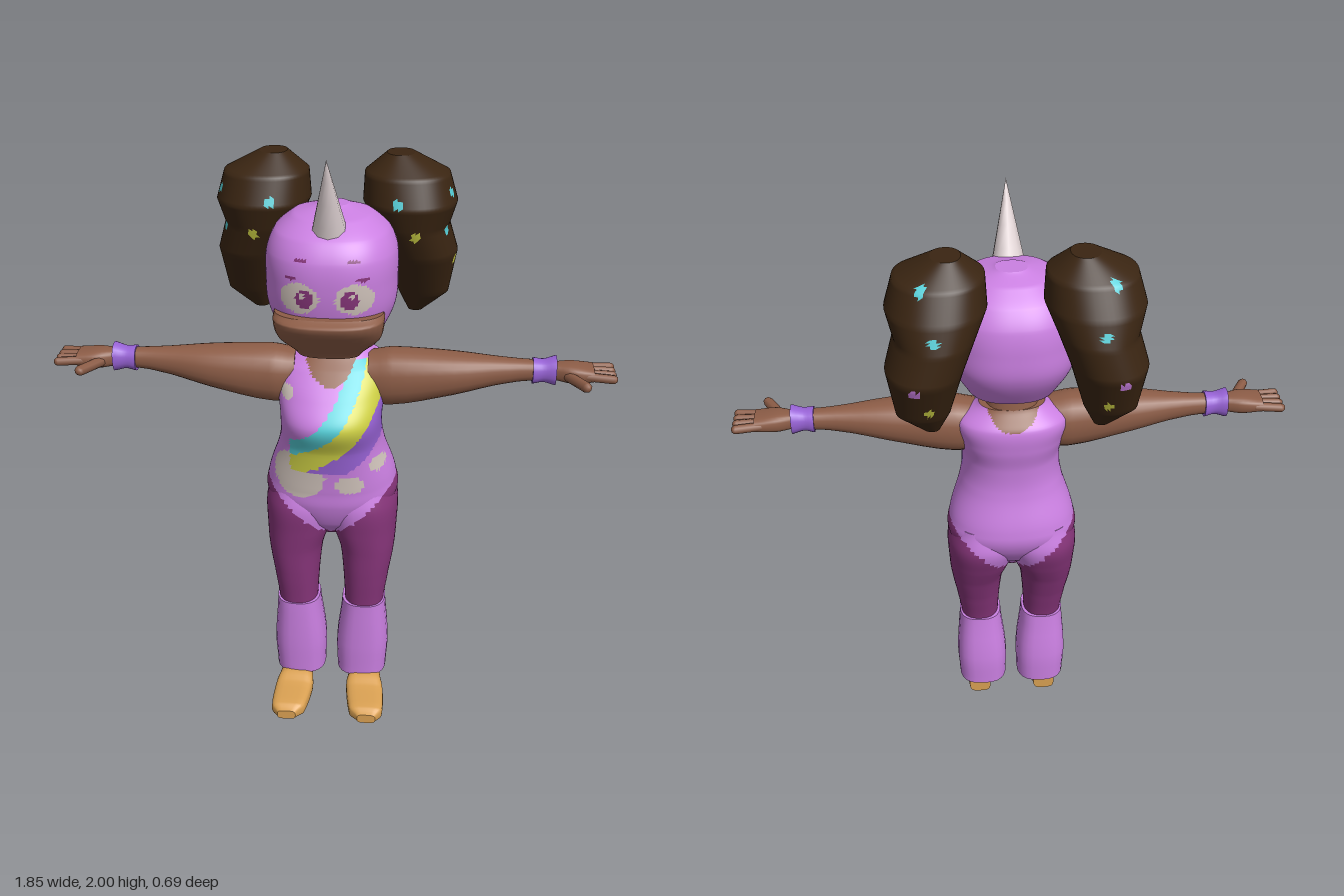
import * as THREE from 'three';

const mat = (name, color) => Object.assign(new THREE.MeshStandardMaterial({ color }), { name });
const M = {
  suit: mat('orchid suit', 0xcb80e2),
  skin: mat('brown skin', 0x8d5d47),
  tights: mat('plum tights', 0x87357a),
  hair: mat('dark hair', 0x3a2512),
  horn: mat('pale horn', 0xdccfd0),
  cream: mat('cream spots', 0xd2c5bd),
  shoe: mat('tan shoe', 0xd9a052),
  band: mat('violet band', 0x9863d6),
  cyan: mat('cyan paint', 0x55cfd8),
  yellow: mat('yellow paint', 0xd0d246),
};

// Catmull-Rom between rings, or straight lines when not smooth
function ringAt(rings, t, smooth) {
  const n = rings.length - 1, i = Math.min(Math.floor(t), n - 1), f = t - i;
  const [a, b, c, d] = [Math.max(i - 1, 0), i, i + 1, Math.min(i + 2, n)].map(k => rings[k]);
  return b.map((_, k) => smooth && k > 0
    ? 0.5 * (2 * b[k] + (c[k] - a[k]) * f + (2 * a[k] - 5 * b[k] + 4 * c[k] - d[k]) * f * f
      + (3 * b[k] - a[k] - 3 * c[k] + d[k]) * f ** 3)
    : b[k] + (c[k] - b[k]) * f);
}

// Loft of superellipse rings [along, u0, u1, v0, v1].
// Axis 1 (y): u = x, v = z.  Axis 0 (x): u = z, v = y.  Axis 2 (z): u = y, v = x.
function loft(name, rings, base, { axis = 1, sides = 24, steps = 4, n = 2.3, smooth = true, paint } = {}) {
  const u = (axis + 2) % 3, v = (axis + 1) % 3, pos = [], rows = [];
  const total = (rings.length - 1) * steps;
  const addRow = (r, k) => {
    rows.push(pos.length / 3);
    for (let j = 0; j < sides; j++) {
      const a = j / sides * Math.PI * 2, p = [0, 0, 0];
      const se = w => Math.sign(w) * Math.abs(w) ** (2 / n) * k;
      p[axis] = r[0];
      p[u] = (r[1] + r[2]) / 2 + se(Math.cos(a)) * (r[2] - r[1]) / 2;
      p[v] = (r[3] + r[4]) / 2 + se(Math.sin(a)) * (r[4] - r[3]) / 2;
      pos.push(...p);
    }
  };
  // end rings are doubled so the caps keep a sharp edge
  addRow(rings[0], 0);
  addRow(rings[0], 1);
  for (let i = 0; i <= total; i++) addRow(ringAt(rings, i / steps, smooth), 1);
  addRow(rings[rings.length - 1], 1);
  addRow(rings[rings.length - 1], 0);

  const buckets = new Map();
  const tri = (...ids) => {
    const c = [0, 1, 2].map(k => ids.reduce((s, id) => s + pos[id * 3 + k], 0) / 3);
    const m = paint ? paint(...c) : base;
    if (!buckets.has(m)) buckets.set(m, []);
    buckets.get(m).push(...ids);
  };
  for (let i = 0; i < rows.length - 1; i++) {
    if (i === 1 || i === rows.length - 3) continue;
    for (let j = 0; j < sides; j++) {
      const k = (j + 1) % sides;
      const a = rows[i] + j, b = rows[i] + k, c = rows[i + 1] + j, d = rows[i + 1] + k;
      if (i > 0) tri(a, c, b);
      if (i < rows.length - 2) tri(b, c, d);
    }
  }
  const g = new THREE.BufferGeometry(), index = [], mats = [];
  g.setAttribute('position', new THREE.Float32BufferAttribute(pos, 3));
  for (const [m, ids] of buckets) {
    g.addGroup(index.length, ids.length, mats.length);
    mats.push(m);
    for (const id of ids) index.push(id);
  }
  g.setIndex(index);
  g.computeVertexNormals();
  const mesh = new THREE.Mesh(g, mats.length > 1 ? mats : mats[0]);
  mesh.name = name;
  return mesh;
}

// Rings centred on x = 0, from [y, halfWidth, back, front]
const centred = rings => rings.map(([y, w, z0, z1]) => [y, -w, w, z0, z1]);

// Rounded finger between two points
function finger(name, from, to, r) {
  const a = new THREE.Vector3(...from), b = new THREE.Vector3(...to), d = b.clone().sub(a);
  const g = new THREE.CapsuleGeometry(r, d.length() - r, 3, 8);
  g.applyQuaternion(new THREE.Quaternion().setFromUnitVectors(new THREE.Vector3(0, 1, 0), d.normalize()));
  g.translate(...a.add(b).multiplyScalar(0.5).toArray());
  const mesh = new THREE.Mesh(g, M.skin);
  mesh.name = name;
  return mesh;
}

// Mirrored copy across x with the winding turned back
function mirrored(mesh) {
  const g = mesh.geometry.clone().scale(-1, 1, 1), ix = g.index.array;
  for (let i = 0; i < ix.length; i += 3) [ix[i], ix[i + 1]] = [ix[i + 1], ix[i]];
  const copy = new THREE.Mesh(g, mesh.material);
  copy.name = mesh.name.replace('left', 'right');
  return copy;
}

const inside = (x, y, cx, cy, rx, ry = rx) => ((x - cx) / rx) ** 2 + ((y - cy) / ry) ** 2 < 1;

// High-cut leg line shared by torso and legs
const legLine = (x, y) => (y > 0.665 + 0.95 * Math.abs(x) ? M.suit : M.tights);

const bellySpots = [[-0.1, 0.93, 0.088], [0.07, 0.9, 0.048, 0.035], [0.16, 0.965, 0.026], [-0.14, 1.215, 0.022]];
function paintTorso(x, y, z) {
  if (inside(x, y, 0, 1.37, 0.09, z > 0.03 ? 0.13 : 0.09)) return M.skin;
  if (z > 0.06) {
    // curved chest stripes
    const r = Math.hypot(x + 0.25, y - 1.35);
    if (y > 0.945 && y < 1.31 && x > -0.13 && r > 0.31 && r < 0.51)
      return r < 0.368 ? M.cyan : r < 0.44 ? M.yellow : M.band;
    if (bellySpots.some(s => inside(x, y, ...s))) return M.cream;
  }
  return legLine(x, y);
}

// Eyes and brows
function paintHead(x, y, z) {
  if (z < 0.1) return M.suit;
  const ax = Math.abs(x);
  if (inside(ax, y, 0.078, 1.582, 0.009)) return M.cream;
  if (inside(ax, y, 0.07, 1.57, 0.028, 0.03)) return M.tights;
  if (inside(ax, y, 0.085, 1.572, 0.06, 0.05)) return M.cream;
  if (inside(ax, y, 0.08, 1.69, 0.02, 0.006) || inside(ax, y, 0.11, 1.635, 0.02, 0.006)) return M.tights;
  return M.suit;
}

// Hair flecks: side [z, y], front and back [x, y], top [x, z]
const flecks = {
  side: [[-0.07, 1.82, 'cyan'], [-0.15, 1.745, 'cyan'], [-0.08, 1.695, 'cyan'], [-0.13, 1.58, 'yellow']],
  front: [[0.2, 1.8, 'cyan'], [0.26, 1.69, 'yellow']],
  back: [[0.25, 1.74, 'cyan'], [0.31, 1.58, 'suit'], [0.27, 1.49, 'yellow']],
  top: [[0.28, -0.25, 'cyan']],
};
function paintHair(x, y, z) {
  const hit = (list, a, b) => list.find(f => inside(a, b, f[0], f[1], 0.016));
  const f = (x > 0.3 && hit(flecks.side, z, y)) || (z > -0.1 && hit(flecks.front, x, y))
    || (z < -0.2 && hit(flecks.back, x, y)) || (y > 1.78 && hit(flecks.top, x, z));
  return f ? M[f[2]] : M.hair;
}

export function createModel() {
  const model = new THREE.Group();
  model.name = 'figure';
  const addPair = part => model.add(part, mirrored(part));

  // Body
  model.add(loft('torso', centred([
    [0.66, 0.04, 0, 0.13], [0.72, 0.13, -0.06, 0.185], [0.8, 0.218, -0.112, 0.215], [0.87, 0.22, -0.122, 0.222],
    [1.02, 0.176, -0.085, 0.242], [1.12, 0.169, -0.083, 0.277], [1.2, 0.18, -0.098, 0.225],
    [1.28, 0.182, -0.098, 0.155], [1.34, 0.11, -0.05, 0.1],
  ]), M.suit, { sides: 96, steps: 10, paint: paintTorso }));
  model.add(loft('neck', centred([[1.27, 0.1, -0.06, 0.12], [1.42, 0.07, -0.04, 0.09]]), M.skin));

  // Hooded head, muzzle and horn
  model.add(loft('hoodedHead', centred([
    [1.36, 0.1, 0, 0.19], [1.39, 0.15, -0.09, 0.228], [1.5, 0.203, -0.16, 0.262], [1.6, 0.21, -0.17, 0.277],
    [1.68, 0.206, -0.16, 0.272], [1.74, 0.18, -0.125, 0.238], [1.785, 0.125, -0.07, 0.17], [1.81, 0.05, -0.01, 0.08],
  ]), M.suit, { sides: 128, steps: 10, n: 2.4, paint: paintHead }));
  model.add(loft('muzzle', centred([
    [1.355, 0.1, 0.1, 0.215], [1.42, 0.162, 0.08, 0.27], [1.49, 0.175, 0.07, 0.322], [1.51, 0.172, 0.07, 0.29],
  ]), M.skin, { sides: 32, n: 2.5 }));
  const horn = new THREE.Mesh(new THREE.ConeGeometry(0.062, 0.29, 10, 4), M.horn);
  horn.name = 'horn';
  horn.position.set(0, 1.866, 0.219);
  horn.rotation.x = 0.39;
  model.add(horn);

  // Hair puffs
  addPair(loft('left hairPuff', [
    [1.38, 0.24, 0.29, -0.22, -0.17], [1.45, 0.205, 0.375, -0.275, -0.12], [1.6, 0.16, 0.4, -0.345, -0.03],
    [1.7, 0.12, 0.37, -0.335, 0.01], [1.78, 0.085, 0.392, -0.31, 0.035], [1.87, 0.09, 0.365, -0.265, 0.005],
    [1.93, 0.16, 0.25, -0.19, -0.08],
  ], M.hair, { sides: 64, steps: 9, n: 2.2, smooth: false, paint: paintHair }));

  // Legs, leg warmers and shoes
  addPair(loft('left leg', [
    [0.36, 0.05, 0.185, 0.02, 0.172], [0.5, 0.042, 0.204, -0.015, 0.187], [0.6, 0.03, 0.22, -0.05, 0.195],
    [0.68, 0.002, 0.226, -0.085, 0.203], [0.78, -0.02, 0.228, -0.116, 0.21], [0.87, 0, 0.205, -0.1, 0.19],
  ], M.tights, { sides: 48, steps: 7, paint: legLine }));
  addPair(loft('left legWarmer', [
    [0.075, 0.022, 0.2, -0.014, 0.172], [0.2, 0.02, 0.206, -0.015, 0.178], [0.385, 0.04, 0.193, 0.008, 0.18],
  ], M.suit, { n: 2.6 }));
  addPair(loft('left shoe', [
    [0.02, 0, 0.08, 0.085, 0.165], [0.17, 0, 0.085, 0.063, 0.187], [0.22, 0, 0.066, 0.063, 0.197],
    [0.32, 0, 0.055, 0.08, 0.198], [0.35, 0.005, 0.04, 0.11, 0.175],
  ], M.shoe, { axis: 2, n: 3.5 }));

  // Arms, wristbands and hands
  addPair(loft('left arm', [
    [0.12, -0.02, 0.14, 1.15, 1.32], [0.2, -0.025, 0.15, 1.142, 1.333], [0.4, -0.01, 0.14, 1.185, 1.326],
    [0.58, 0.018, 0.102, 1.228, 1.31], [0.7, 0.025, 0.092, 1.24, 1.305],
  ], M.skin, { axis: 0 }));
  addPair(loft('left wristband', [
    [0.655, 0.016, 0.102, 1.228, 1.312], [0.69, 0.022, 0.098, 1.235, 1.31], [0.73, 0.014, 0.104, 1.225, 1.322],
  ], M.band, { axis: 0 }));
  addPair(loft('left palm', [
    [0.72, 0.03, 0.09, 1.245, 1.3], [0.78, 0.015, 0.112, 1.24, 1.303], [0.85, 0.01, 0.115, 1.248, 1.295],
  ], M.skin, { axis: 0, n: 2.8 }));
  addPair(finger('left thumb', [0.765, 1.268, 0.09], [0.822, 1.27, 0.188], 0.017));
  for (let i = 0; i < 4; i++)
    addPair(finger(`left finger ${i + 1}`, [0.82, 1.272, 0.025 + i * 0.025], [0.917, 1.27, 0.012 + i * 0.034], 0.015));

  return model;
}
